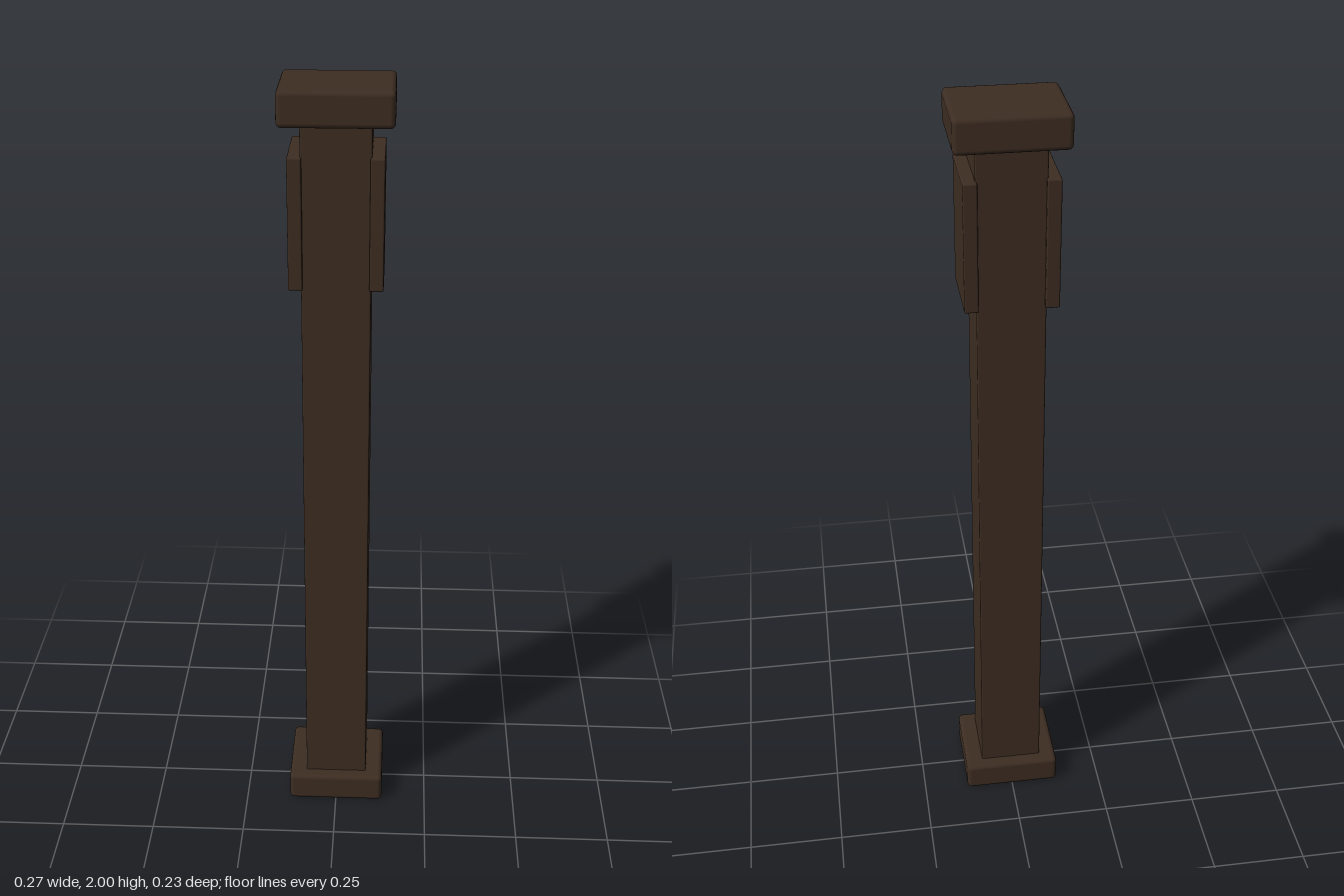
import * as THREE from 'three';
import { RoundedBoxGeometry } from 'three/addons/geometries/RoundedBoxGeometry.js';

export function createModel() {
  const group = new THREE.Group();
  const wood = new THREE.MeshStandardMaterial({ color: 0x3d2d22 });
  wood.name = 'dark wood';

  // A softly bevelled block, given its bottom and top heights
  function block(name, width, depth, bottom, top, bevel, x = 0) {
    const geometry = new RoundedBoxGeometry(width, top - bottom, depth, 2, bevel);
    const mesh = new THREE.Mesh(geometry, wood);
    mesh.name = name;
    mesh.position.set(x, (bottom + top) / 2, 0);
    group.add(mesh);
  }

  // Foot, shaft and cap
  block('base', 0.258, 0.23, 0, 0.08, 0.012);
  block('post', 0.166, 0.166, 0.04, 1.96, 0.004);
  block('cap', 0.27, 0.218, 1.915, 2, 0.012);

  // Mounting plates on both sides, below the cap
  for (const [side, name] of [[1, 'leftPlate'], [-1, 'rightPlate']]) {
    block(name, 0.034, 0.19, 1.525, 1.845, 0.004, side * 0.096);
  }
  return group;
}
